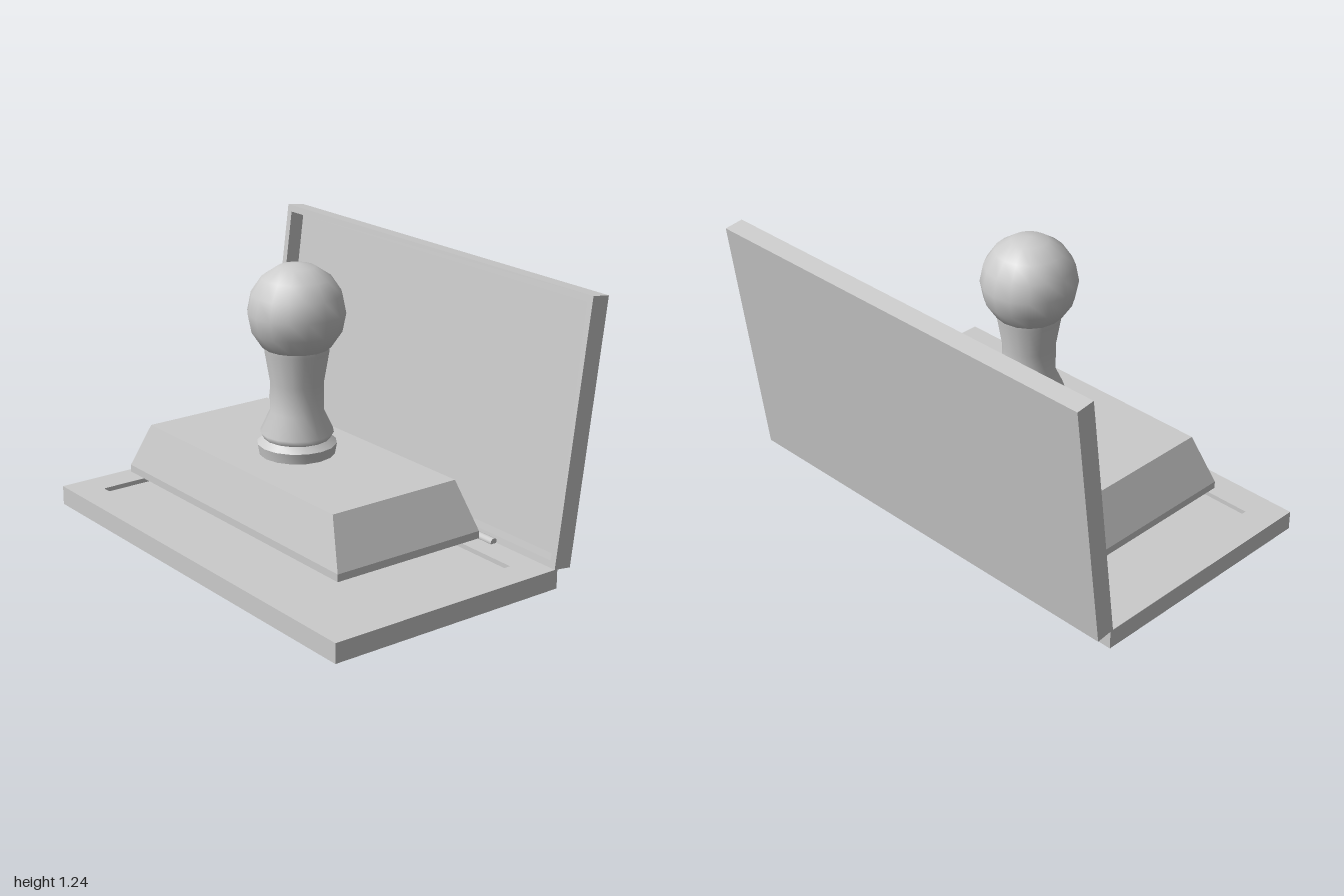
import * as THREE from 'three';
import { toCreasedNormals } from 'three/addons/utils/BufferGeometryUtils.js';

const material = new THREE.MeshStandardMaterial({ color: 0xcccccc });

function part(name, geometry, parent, x = 0, y = 0, z = 0) {
  const mesh = new THREE.Mesh(geometry, material);
  mesh.name = name;
  mesh.position.set(x, y, z);
  parent.add(mesh);
  return mesh;
}

function rectangle(PathType, w, h) {
  const p = new PathType();
  p.moveTo(-w / 2, -h / 2);
  p.lineTo(w / 2, -h / 2);
  p.lineTo(w / 2, h / 2);
  p.lineTo(-w / 2, h / 2);
  p.closePath();
  return p;
}

// Slab in the XY plane with a rectangular recess opening toward +z
function tray(name, w, h, thickness, holeW, holeH, recess) {
  const group = new THREE.Group();
  group.name = name;
  const shape = rectangle(THREE.Shape, w, h);
  shape.holes.push(rectangle(THREE.Path, holeW, holeH));
  const floor = thickness - recess;
  part(name + 'Rim', new THREE.ExtrudeGeometry(shape, { depth: recess, bevelEnabled: false }), group, 0, 0, floor);
  part(name + 'Panel', new THREE.BoxGeometry(w, h, floor), group, 0, 0, floor / 2);
  return group;
}

// Box whose upper face is scaled inward
function taperedBox(w, h, d, topW, topD) {
  const g = new THREE.BoxGeometry(w, h, d);
  const p = g.attributes.position;
  for (let i = 0; i < p.count; i++) {
    if (p.getY(i) > 0) {
      p.setX(i, Math.sign(p.getX(i)) * topW / 2);
      p.setZ(i, Math.sign(p.getZ(i)) * topD / 2);
    }
  }
  g.computeVertexNormals();
  return g;
}

const lathe = (points) => new THREE.LatheGeometry(points.map(([r, y]) => new THREE.Vector2(r, y)), 16);

export function createModel() {
  const model = new THREE.Group();
  model.name = 'stampAndInkPad';

  // Ink pad box: base lying flat
  const base = tray('padBase', 2, 1.125, 0.085, 1.73, 0.86, 0.02);
  base.rotation.x = -Math.PI / 2;
  base.position.z = 0.107;
  model.add(base);

  // Lid pivoting at the back edge, leaning backward
  const lidPivot = new THREE.Group();
  lidPivot.name = 'lidPivot';
  lidPivot.position.set(0, 0.085, -0.441);
  lidPivot.rotation.x = -0.13;
  const lid = tray('lid', 2, 1.125, 0.085, 1.94, 1.065, 0.07);
  lid.position.set(0, 0.5625, -0.085);
  lidPivot.add(lid);
  model.add(lidPivot);

  // Hinge barrels
  for (const side of [-1, 1]) {
    const barrel = new THREE.CylinderGeometry(0.018, 0.018, 0.145, 12).rotateZ(Math.PI / 2);
    part(side > 0 ? 'leftHinge' : 'rightHinge', barrel, model, side * 0.578, 0.09, -0.428);
  }

  // Stamp held above the pad
  const stamp = new THREE.Group();
  stamp.name = 'stamp';
  stamp.position.z = 0.105;
  model.add(stamp);
  part('stampPlate', new THREE.BoxGeometry(1.495, 0.032, 0.72), stamp, 0, 0.201, 0);
  part('stampBlock', taperedBox(1.495, 0.203, 0.72, 1.3, 0.62), stamp, 0, 0.3185, 0);

  // Turned handle: collar, waisted grip and knob
  part('handleCollar', toCreasedNormals(lathe([
    [0.16, 0.42], [0.168, 0.465], [0.14, 0.49], [0, 0.49],
  ]), 0.5), stamp);
  part('handleGrip', lathe([
    [0.14, 0.488], [0.155, 0.515], [0.113, 0.605], [0.113, 0.73], [0.136, 0.865], [0.138, 0.91],
  ]), stamp);
  part('handleKnob', new THREE.SphereGeometry(0.205, 16, 8), stamp, 0, 1.03, 0);

  return model;
}
